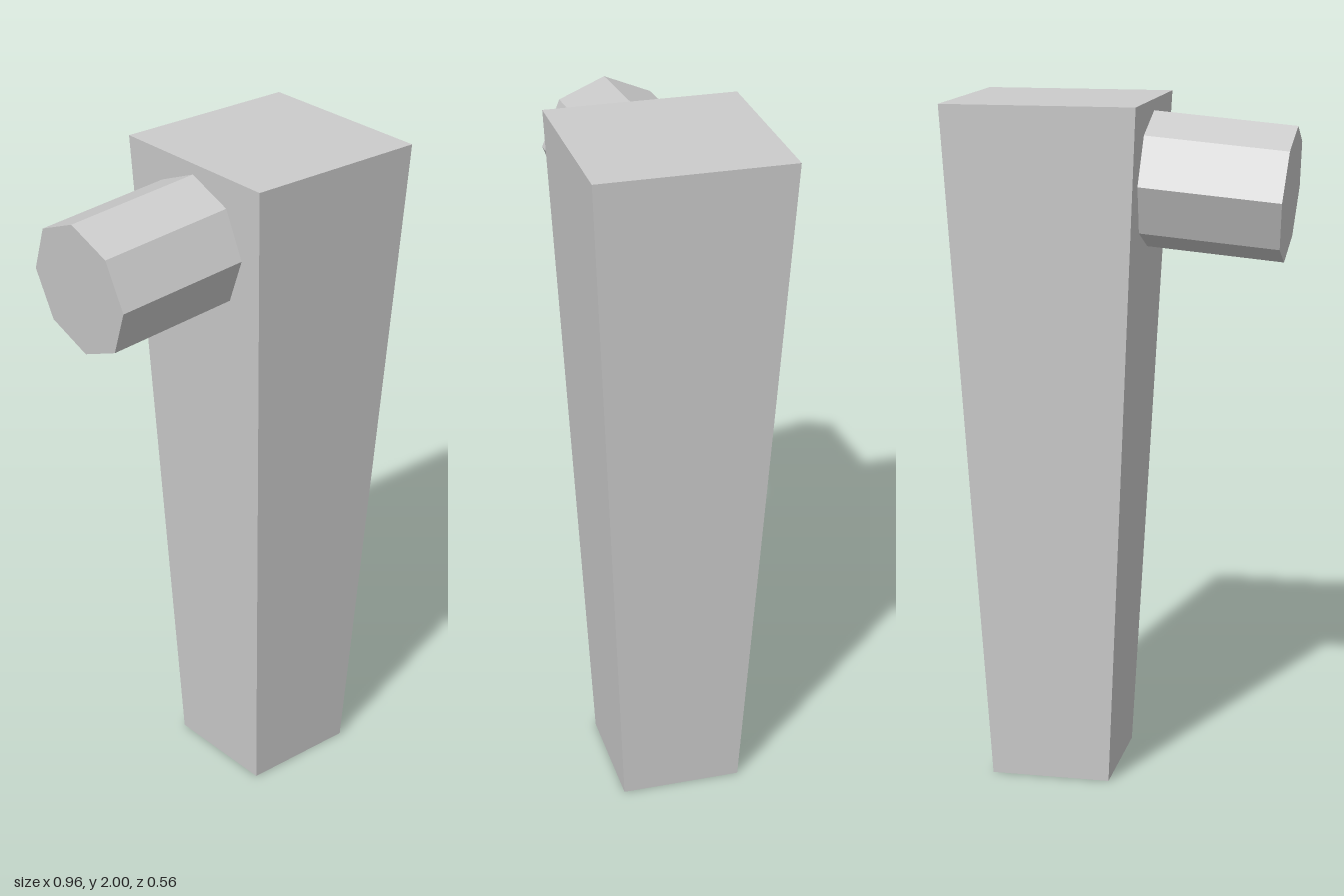
import * as THREE from 'three';

export function createModel() {
  const model = new THREE.Group();
  const material = new THREE.MeshStandardMaterial({ color: 0xcccccc, flatShading: true });

  // Square post, widening towards the top
  const postGeometry = new THREE.BoxGeometry(1, 2, 1);
  const pos = postGeometry.attributes.position;
  for (let i = 0; i < pos.count; i++) {
    const width = pos.getY(i) > 0 ? 0.555 : 0.353;
    pos.setX(i, pos.getX(i) * width);
    pos.setZ(i, pos.getZ(i) * width);
  }
  postGeometry.computeVertexNormals();
  const post = new THREE.Mesh(postGeometry, material);
  post.name = 'taperedPost';
  post.position.set(0.203, 1, 0);
  model.add(post);

  // Octagonal peg, sloping slightly down and outwards from the post
  const tilt = THREE.MathUtils.degToRad(5);
  const length = 0.5;
  const peg = new THREE.Mesh(new THREE.CylinderGeometry(0.194, 0.194, length, 8), material);
  peg.name = 'sidePeg';
  peg.rotation.z = tilt - Math.PI / 2;
  peg.position.set(-0.466 + Math.cos(tilt) * length / 2, 1.738 + Math.sin(tilt) * length / 2, 0);
  model.add(peg);

  return model;
}
